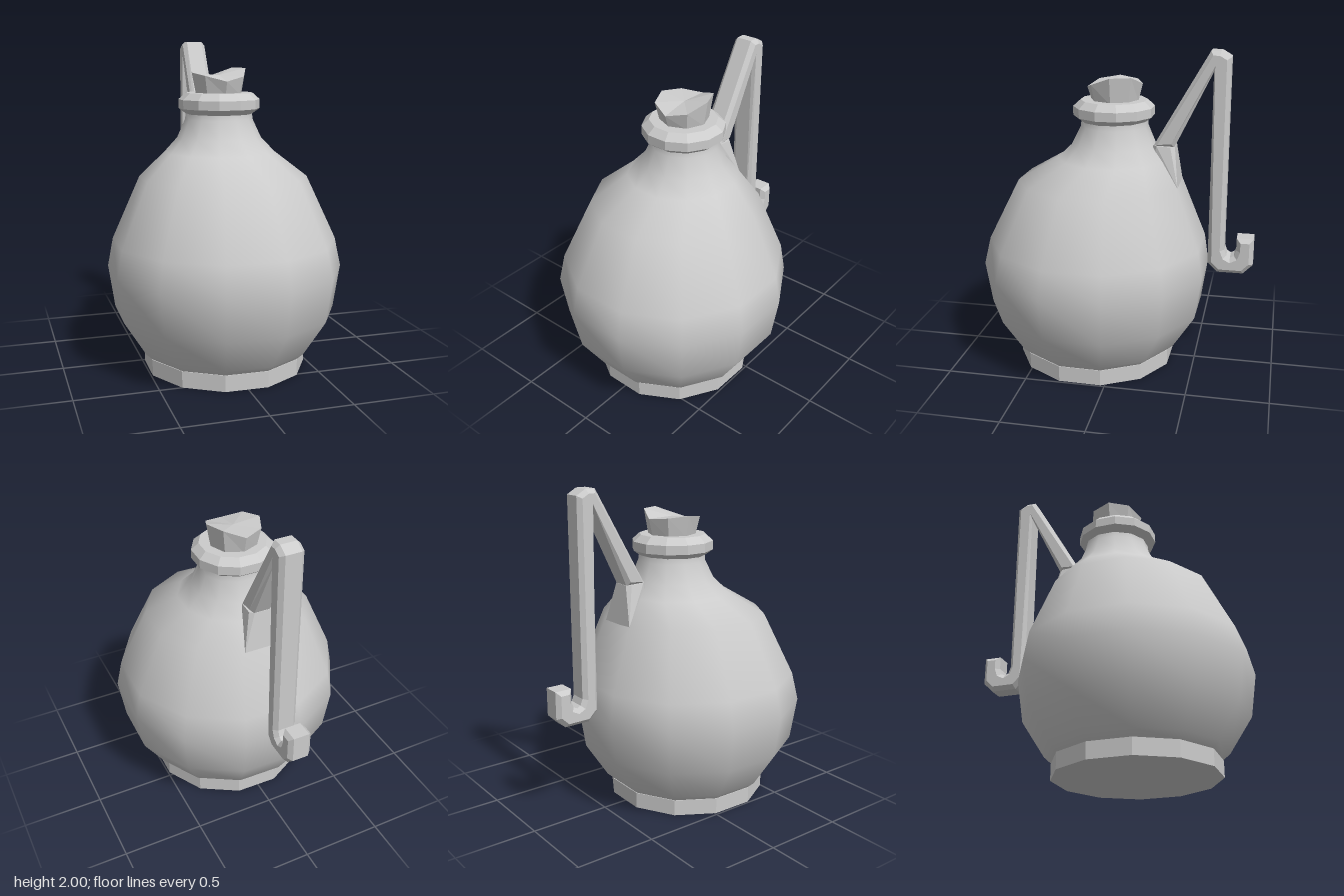
import * as THREE from 'three';
import { mergeVertices } from 'three/addons/utils/BufferGeometryUtils.js';
import { ConvexGeometry } from 'three/addons/geometries/ConvexGeometry.js';

const SIDES = 12;
const START = THREE.MathUtils.degToRad(14);
const smooth = new THREE.MeshStandardMaterial({ color: 0xcccccc });
const faceted = new THREE.MeshStandardMaterial({ color: 0xcccccc, flatShading: true });

// Turned shape whose rings [radius, y, zCentre] may be shifted along z
function turned(rings, sides = SIDES, start = START) {
  const geo = new THREE.LatheGeometry(rings.map(([r, y]) => new THREE.Vector2(r, y)), sides, start);
  const pos = geo.attributes.position;
  for (let i = 0; i < pos.count; i++) pos.setZ(i, pos.getZ(i) + rings[i % rings.length][2]);
  geo.deleteAttribute('uv');
  geo.deleteAttribute('normal');
  const merged = mergeVertices(geo);
  merged.computeVertexNormals();
  return merged;
}

export function createModel() {
  const model = new THREE.Group();
  const add = (name, geometry, material = faceted) => {
    const mesh = new THREE.Mesh(geometry, material);
    mesh.name = name;
    model.add(mesh);
    return mesh;
  };

  // Round belly with the neck set slightly towards the back
  add('body', turned([
    [0.495, 0.09, 0.148], [0.5, 0.1, 0.148], [0.545, 0.14, 0.148], [0.685, 0.36, 0.148],
    [0.725, 0.625, 0.148], [0.69, 0.8, 0.14], [0.515, 1.185, 0.12], [0.34, 1.33, 0.045],
    [0.26, 1.415, 0.035], [0.208, 1.53, 0.03], [0.205, 1.58, 0.03],
  ]), smooth);

  // Foot
  add('base', turned([[0, 0, 0.148], [0.505, 0, 0.148], [0.505, 0.1, 0.148], [0, 0.1, 0.148]]));

  // Chamfered ring around the mouth
  add('collar', turned([
    [0, 1.562, 0.035], [0.205, 1.562, 0.035], [0.25, 1.595, 0.035],
    [0.25, 1.65, 0.035], [0.205, 1.69, 0.035], [0, 1.69, 0.035],
  ]));

  // Stopper with an uneven, rough-cut top
  const cork = turned([[0.145, 1.68, 0.03], [0.172, 1.8, 0.03], [0, 1.795, 0.03]], 8, 0);
  const rimHeights = [1.762, 1.79, 1.838, 1.838, 1.79, 1.8, 1.812, 1.795];
  const pos = cork.attributes.position;
  for (let i = 0; i < pos.count; i++) {
    if (Math.abs(pos.getY(i) - 1.8) > 0.001) continue;
    const angle = Math.atan2(pos.getX(i), pos.getZ(i) - 0.03);
    pos.setY(i, rimHeights[(Math.round(angle / (Math.PI / 4)) + 8) % 8]);
  }
  cork.computeVertexNormals();
  add('stopper', cork);

  // Bent handle with a hooked end, as points of [distance to the back, height]
  const outline = [
    [0.215, 1.415], [0.55, 2], [0.61, 2], [0.67, 1.965], [0.67, 0.78], [0.685, 0.742],
    [0.708, 0.73], [0.732, 0.742], [0.745, 0.78], [0.745, 0.86], [0.85, 0.86], [0.85, 0.69],
    [0.79, 0.63], [0.63, 0.63], [0.57, 0.69], [0.57, 1.88], [0.345, 1.415],
  ].map(([back, y]) => new THREE.Vector2(back, y)).reverse();
  const bevel = 0.025;
  const handle = new THREE.ExtrudeGeometry(new THREE.Shape(outline), {
    depth: 0.1, bevelEnabled: true, bevelSegments: 1,
    bevelThickness: bevel, bevelSize: bevel, bevelOffset: -bevel,
  });
  handle.translate(0, 0, -0.05).rotateY(Math.PI / 2);
  add('handle', handle);

  // Flared root joining the handle to the shoulder
  const root = [];
  for (const s of [-1, 1]) {
    root.push(
      new THREE.Vector3(s * 0.05, 1.425, -0.215), new THREE.Vector3(s * 0.075, 1.425, -0.24),
      new THREE.Vector3(s * 0.075, 1.42, -0.325), new THREE.Vector3(s * 0.05, 1.42, -0.35),
      new THREE.Vector3(s * 0.125, 1.18, -0.38), new THREE.Vector3(s * 0.07, 1.22, -0.2),
    );
  }
  add('handleRoot', new ConvexGeometry(root));

  return model;
}
